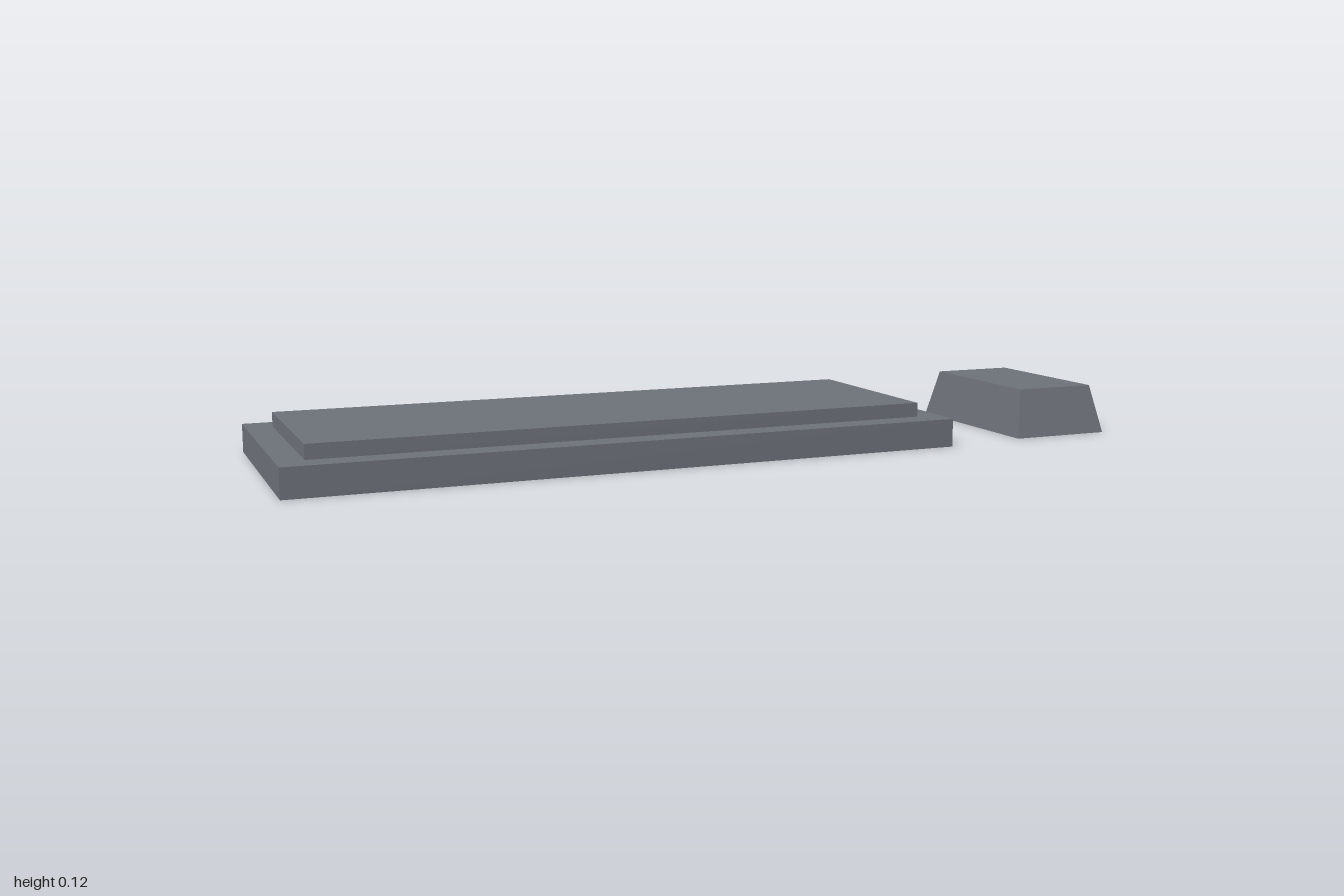
import * as THREE from 'three';

// Box given by its bounds, with the top edges drawn in by tx and tz.
function slab(name, material, [x0, x1], [y0, y1], [z0, z1], tx = 0, tz = 0) {
  const w = x1 - x0, h = y1 - y0, d = z1 - z0;
  const geometry = new THREE.BoxGeometry(w, h, d);
  const p = geometry.attributes.position;
  for (let i = 0; i < p.count; i++) {
    if (p.getY(i) > 0) {
      p.setX(i, p.getX(i) * (1 - 2 * tx / w));
      p.setZ(i, p.getZ(i) * (1 - 2 * tz / d));
    }
  }
  geometry.computeVertexNormals();
  const mesh = new THREE.Mesh(geometry, material);
  mesh.name = name;
  mesh.position.set((x0 + x1) / 2, (y0 + y1) / 2, (z0 + z1) / 2);
  return mesh;
}

export function createModel() {
  const model = new THREE.Group();
  model.name = 'keyboardAndMouse';
  const greyPlastic = new THREE.MeshStandardMaterial({ color: 0x6c7178 });
  greyPlastic.name = 'greyPlastic';

  // Keyboard: a flat base with a raised block of keys
  const keyboard = new THREE.Group();
  keyboard.name = 'keyboard';
  keyboard.add(
    slab('keyboardBase', greyPlastic, [-1, 0.548], [0, 0.066], [-0.286, 0.286]),
    slab('keyBlock', greyPlastic, [-0.94, 0.488], [0.066, 0.099], [-0.224, 0.224]),
  );

  // Mouse: a tapered block beside it, set slightly forward
  const mouse = slab('mouse', greyPlastic, [0.753, 1], [0, 0.115], [-0.173, 0.256], 0.022, 0.031);

  model.add(keyboard, mouse);
  return model;
}
